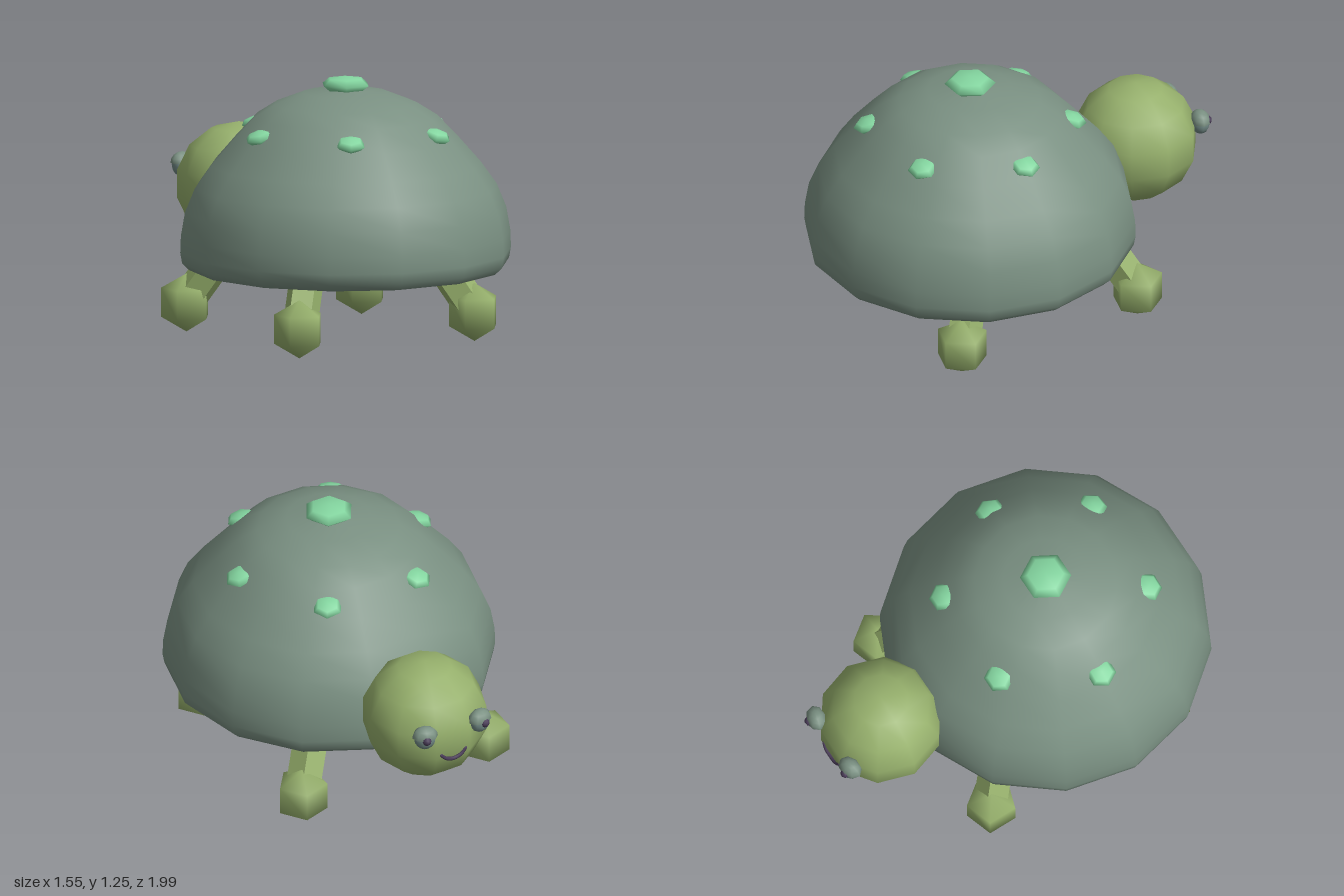
import * as THREE from 'three';

const material = (name, color) => {
  const m = new THREE.MeshStandardMaterial({ color });
  m.name = name;
  return m;
};

export function createModel() {
  const turtle = new THREE.Group();
  turtle.name = 'turtle';
  const shellGreen = material('shell green', 0x7a9082);
  const skinGreen = material('skin green', 0x96b06c);
  const spotMint = material('spot mint', 0x84d6a0);
  const eyeGrey = material('eye grey green', 0x728a86);
  const darkPurple = material('dark purple', 0x4a3c58);

  const add = (name, geometry, mat, x, y, z, parent = turtle) => {
    const mesh = new THREE.Mesh(geometry, mat);
    mesh.name = name;
    mesh.position.set(x, y, z);
    parent.add(mesh);
    return mesh;
  };

  // Domed shell with a rounded lower rim and flat belly
  const shellZ = 0.235;
  const profile = [
    [0, 0.337], [0.67, 0.337], [0.735, 0.348], [0.768, 0.38], [0.777, 0.43],
    [0.774, 0.51], [0.755, 0.62], [0.71, 0.73], [0.635, 0.835], [0.53, 0.955],
    [0.43, 1.06], [0.335, 1.12], [0.2, 1.173], [0, 1.195],
  ].map(([r, y]) => new THREE.Vector2(r, y));
  const shell = add('shell', new THREE.LatheGeometry(profile, 14), shellGreen, 0, 0, shellZ);
  shell.rotation.y = Math.PI / 2;

  // Flattened hexagonal spots: one on the crown, six around it
  const spot = new THREE.SphereGeometry(1, 6, 4);
  add('crownSpot', spot, spotMint, 0, 1.21, shellZ).scale.set(0.12, 0.04, 0.12);
  for (let i = 0; i < 6; i++) {
    const a = (i * Math.PI) / 3;
    const s = add('shellSpot', spot, spotMint, 0.475 * Math.cos(a), 1.0, shellZ + 0.475 * Math.sin(a));
    s.scale.set(0.072, 0.03, 0.072);
    s.rotation.set(0, -a, -0.3, 'YXZ');
  }

  // Head
  add('head', new THREE.SphereGeometry(0.297, 10, 7), skinGreen, 0, 0.62, -0.68);

  // Eyes with a heavy upper lid and a protruding pupil
  const eyeball = new THREE.SphereGeometry(0.055, 10, 8);
  const lid = new THREE.SphereGeometry(0.062, 8, 4, 0, Math.PI * 2, 0, Math.PI / 2);
  const lidBase = new THREE.CircleGeometry(0.062, 8).rotateX(Math.PI / 2);
  const pupil = new THREE.SphereGeometry(0.023, 8, 6);
  for (const side of [-1, 1]) {
    const eye = new THREE.Group();
    eye.name = side > 0 ? 'leftEye' : 'rightEye';
    eye.position.set(side * 0.146, 0.692, -0.945);
    eye.rotation.y = -side * 0.25;
    turtle.add(eye);
    add('eyeball', eyeball, eyeGrey, 0, 0, 0, eye).scale.set(0.95, 1.05, 0.8);
    add('eyelid', lid, shellGreen, 0, 0.008, 0, eye).scale.set(1, 0.85, 0.75);
    add('eyelidBase', lidBase, shellGreen, 0, 0.008, 0, eye).scale.set(1, 1, 0.75);
    add('pupil', pupil, darkPurple, 0, 0.004, -0.034, eye);
  }

  // Smile following the curve of the face
  const smilePath = new THREE.CatmullRomCurve3([
    [-0.065, 0.57, -0.953], [-0.04, 0.547, -0.958], [0, 0.535, -0.958],
    [0.04, 0.547, -0.958], [0.065, 0.57, -0.953],
  ].map((p) => new THREE.Vector3(...p)));
  add('smile', new THREE.TubeGeometry(smilePath, 14, 0.009, 6), darkPurple, 0, 0, 0);
  for (const x of [-0.065, 0.065]) {
    add('smileEnd', new THREE.SphereGeometry(0.009, 6, 4), darkPurple, x, 0.57, -0.953);
  }

  // Splayed faceted legs, each ending in a chunky foot
  const legGeometry = new THREE.CylinderGeometry(0.085, 0.085, 0.4, 5).toNonIndexed();
  legGeometry.computeVertexNormals();
  const footGeometry = new THREE.SphereGeometry(0.137, 5, 3, Math.PI);
  const up = new THREE.Vector3(0, 1, 0);
  for (const side of [-1, 1]) {
    for (const [end, z, dir] of [['front', -0.38, 1], ['back', 0.59, -1]]) {
      const name = end + (side > 0 ? 'Left' : 'Right');
      const foot = new THREE.Vector3(side * 0.486, 0.142, z);
      add(name + 'Foot', footGeometry, skinGreen, ...foot);
      const axis = new THREE.Vector3(-side * 0.1, 0.2, dir * 0.1).normalize();
      const centre = foot.clone().addScaledVector(axis, 0.19);
      const leg = add(name + 'Leg', legGeometry, skinGreen, ...centre);
      leg.quaternion.setFromUnitVectors(up, axis);
    }
  }
  return turtle;
}
